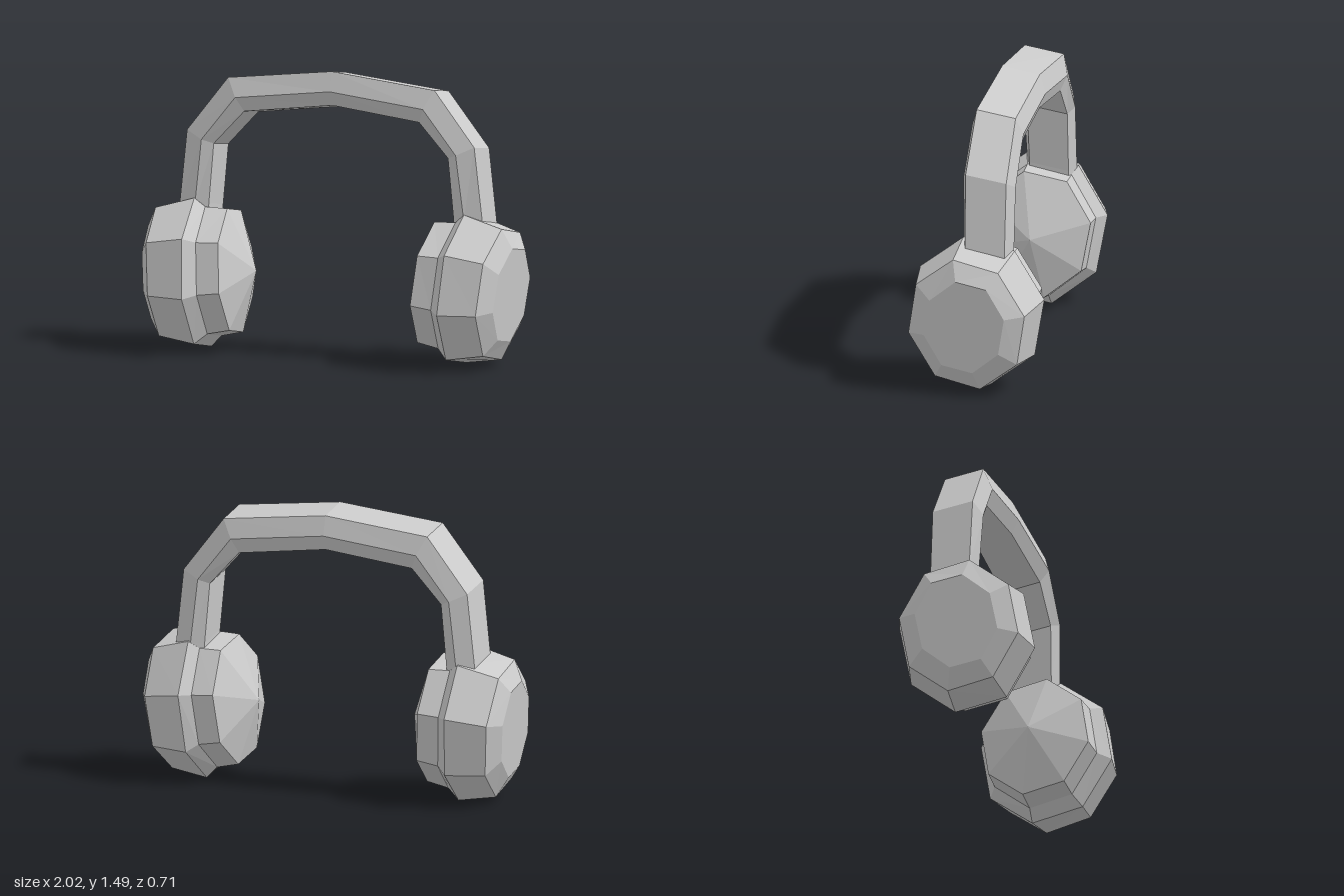
import * as THREE from 'three';

const material = new THREE.MeshStandardMaterial({ color: 0xcccccc, flatShading: true });

const centroid = (ring) =>
  ring.reduce((sum, p) => sum.add(p), new THREE.Vector3()).divideScalar(ring.length);

// Skin closed rings with flat facets; each end is a fan to a given point (or the ring's centre).
function loft(name, rings, flip = false, startTip = centroid(rings[0])) {
  const positions = [];
  const tri = (a, b, c) => {
    for (const p of flip ? [a, c, b] : [a, b, c]) positions.push(p.x, p.y, p.z);
  };
  const n = rings[0].length;
  const last = rings[rings.length - 1];
  const endTip = centroid(last);
  for (let j = 0; j < n; j++) {
    const k = (j + 1) % n;
    tri(startTip, rings[0][k], rings[0][j]);
    for (let i = 0; i < rings.length - 1; i++) {
      const [r, q] = [rings[i], rings[i + 1]];
      tri(r[j], r[k], q[k]);
      tri(r[j], q[k], q[j]);
    }
    tri(endTip, last[j], last[k]);
  }
  const geometry = new THREE.BufferGeometry();
  geometry.setAttribute('position', new THREE.Float32BufferAttribute(positions, 3));
  geometry.computeVertexNormals();
  const mesh = new THREE.Mesh(geometry, material);
  mesh.name = name;
  return mesh;
}

// Ear cup rings from inside out: centre, half axis towards the top, half axis towards the front
const cupRings = [
  { c: [0.547, 0.413, -0.012], up: [0.022, 0.328, 0.058], fwd: [-0.022, -0.075, 0.292] },
  { c: [0.665, 0.402, -0.007], up: [0.022, 0.343, 0.06], fwd: [-0.022, -0.078, 0.298] },
  { c: [0.72, 0.395, 0], up: [0.02, 0.395, 0.07], fwd: [-0.02, -0.087, 0.355] },
  { c: [0.925, 0.38, 0.013], up: [0.025, 0.35, 0.065], fwd: [-0.025, -0.07, 0.31] },
  { c: [0.98, 0.38, 0.015], up: [0.02, 0.248, 0.04], fwd: [-0.02, -0.06, 0.215] },
];

function earCup(name, side) {
  const mirror = new THREE.Vector3(side, 1, 1);
  const rings = cupRings.map(({ c, up, fwd }) =>
    Array.from({ length: 8 }, (_, i) => {
      const t = (i * Math.PI) / 4;
      return new THREE.Vector3(...c)
        .addScaledVector(new THREE.Vector3(...up), Math.cos(t))
        .addScaledVector(new THREE.Vector3(...fwd), Math.sin(t))
        .multiply(mirror);
    }));
  // pointed cushion on the inside
  const tip = new THREE.Vector3(0.432, 0.418, -0.015).multiply(mirror);
  return loft(name, rings, side < 0, tip);
}

// Headband stations from the middle down to one cup: [x, y] of outer, middle and inner edges
const bandStations = [
  { outer: [0, 1.485], mid: [0, 1.384], inner: [0, 1.308], z: [0.032, 0.062, 0.025] },
  { outer: [0.566, 1.422], mid: [0.515, 1.325], inner: [0.48, 1.25], z: [0.04, 0.074, 0.035] },
  { outer: [0.788, 1.139], mid: [0.698, 1.097], inner: [0.643, 1.075], z: [0.048, 0.079, 0.045] },
  { outer: [0.83, 0.76], mid: [0.738, 0.76], inner: [0.672, 0.76], z: [0.042, 0.066, 0.04] },
  { outer: [0.84, 0.6], mid: [0.745, 0.6], inner: [0.68, 0.6], z: [0.04, 0.062, 0.038] },
];

function headband() {
  const section = ({ outer, mid, inner, z }, side) => {
    const edges = [outer, mid, inner];
    const front = edges.map(([x, y], i) => new THREE.Vector3(side * x, y, z[i]));
    // the back edges sit a little lower, so the band leans back
    const back = edges.map(([x, y], i) =>
      new THREE.Vector3(side * x, y - 0.034, -0.165 - [0, 0.03, 0][i]));
    return [...front, ...back.reverse()];
  };
  const rightHalf = bandStations.slice(1).reverse().map((s) => section(s, -1));
  const leftHalf = bandStations.map((s) => section(s, 1));
  return loft('headband', [...rightHalf, ...leftHalf]);
}

export function createModel() {
  const model = new THREE.Group();
  model.name = 'headphones';
  model.add(headband(), earCup('leftEarCup', 1), earCup('rightEarCup', -1));
  return model;
}
